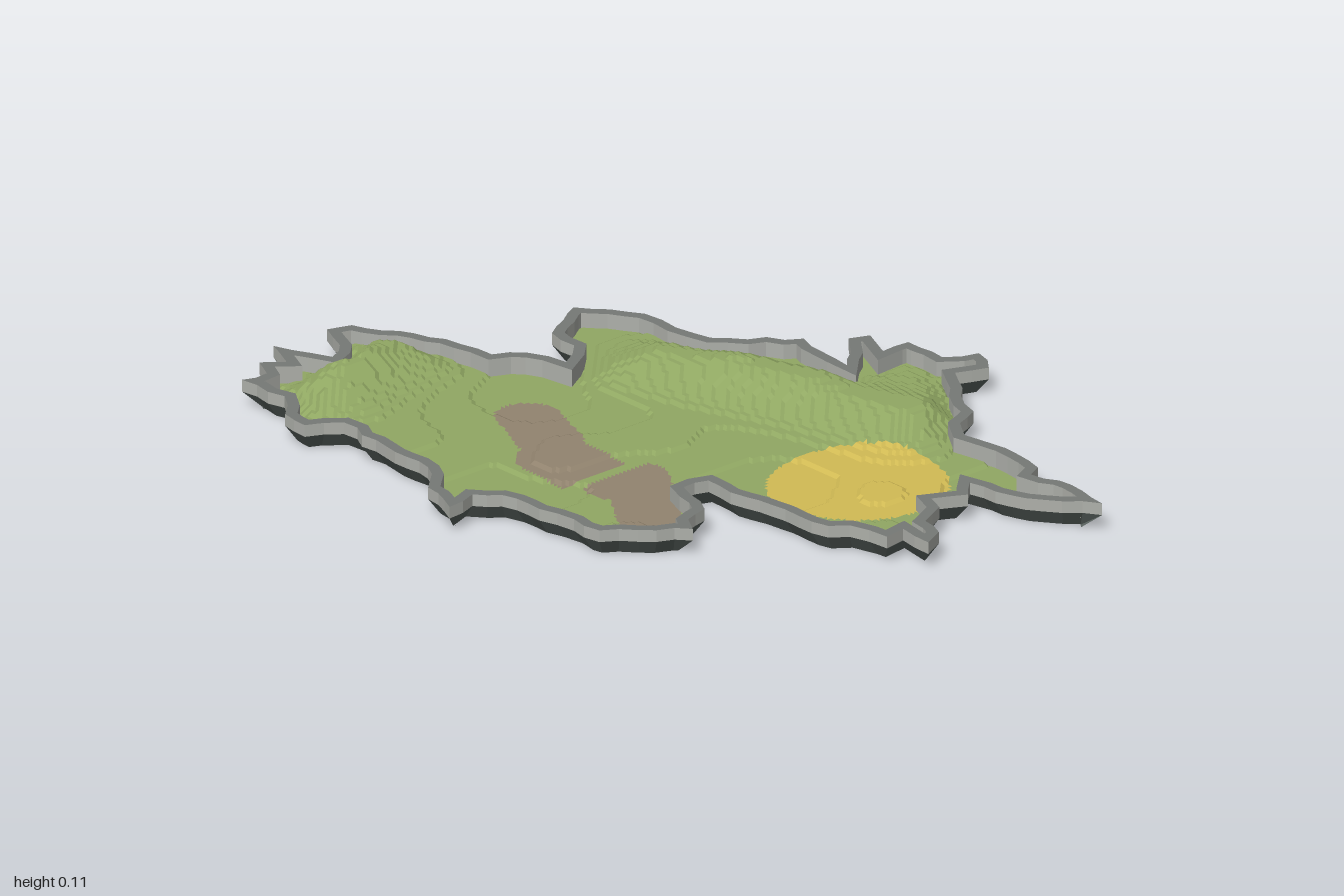
import * as THREE from 'three';

const RIM = { width: 0.028, top: 0.07, lip: 0.04, foot: 0.022 };
const CELL = 0.0125, STEP = 0.0065;

// Coastline corners as x, z pairs in hundredths
const COAST = [
  14, -77, 22, -73, 19, -65, 30, -57, 39, -53, 42, -46, 48, -42, 60, -44, 74, -42, 76, -38,
  87, -41, 100, -39, 89, -30, 78, -25, 70, -24, 75, -19, 71, -11, 76, -9, 80, -1, 87, 1,
  90, 7, 80, 6, 81, 12, 70, 14, 67, 18, 53, 19, 41, 21, 28, 21, 27, 28, 40, 33,
  42, 40, 47, 43, 39, 53, 33, 60, 24, 60, 14, 62, 2, 63, -3, 68, -1, 77, -13, 73,
  -22, 65, -38, 64, -55, 62, -60, 70, -68, 69, -76, 62, -90, 63, -89, 56, -95, 53, -91, 48,
  -100, 44, -86, 38, -90, 32, -99, 28, -97, 22, -87, 16, -76, 11, -62, 9, -57, 2, -47, -1,
  -53, -9, -62, -10, -70, -24, -56, -34, -45, -34, -35, -36, -20, -52, -1, -49, -13, -60,
  -11, -65, -2, -61, -2, -69, 10, -69,
];

function seeded(seed) {
  return () => (seed = (seed * 16807) % 2147483647) / 2147483647;
}

// Coastline with slightly ragged points along each long edge
function coastline() {
  const rand = seeded(11), out = [], n = COAST.length / 2;
  const at = (i) => new THREE.Vector2(COAST[(i % n) * 2], COAST[(i % n) * 2 + 1]).multiplyScalar(0.01);
  for (let i = 0; i < n; i++) {
    const a = at(i), b = at(i + 1), d = b.clone().sub(a);
    const parts = Math.max(1, Math.round(d.length() / 0.045));
    const normal = new THREE.Vector2(-d.y, d.x).normalize();
    out.push(a);
    for (let k = 1; k < parts; k++) {
      out.push(a.clone().lerp(b, k / parts).addScaledVector(normal, (rand() - 0.5) * 0.018));
    }
  }
  return out;
}

// Mitred inward offset of a closed outline
function inset(points, width) {
  const n = points.length;
  const inward = (a, b) => new THREE.Vector2(a.y - b.y, b.x - a.x).normalize();
  return points.map((p, i) => {
    const n1 = inward(points[(i + n - 1) % n], p), n2 = inward(p, points[(i + 1) % n]);
    const m = n1.clone().add(n2).normalize();
    return p.clone().addScaledVector(m, width / Math.max(0.45, m.dot(n1)));
  });
}

function segmentPoint(x, z, ax, az, bx, bz) {
  const dx = bx - ax, dz = bz - az;
  const len = dx * dx + dz * dz;
  const t = len ? THREE.MathUtils.clamp(((x - ax) * dx + (z - az) * dz) / len, 0, 1) : 0;
  return [ax + dx * t, az + dz * t];
}

function segmentDistance(x, z, ...seg) {
  const [px, pz] = segmentPoint(x, z, ...seg);
  return Math.hypot(x - px, z - pz);
}

function contains(poly, x, z) {
  let inside = false;
  for (let i = 0, j = poly.length - 1; i < poly.length; j = i++) {
    const a = poly[i], b = poly[j];
    if ((a.y > z) !== (b.y > z) && x < ((b.x - a.x) * (z - a.y)) / (b.y - a.y) + a.x) inside = !inside;
  }
  return inside;
}

function nearestOn(poly, x, z) {
  let best = null, min = Infinity;
  poly.forEach((a, i) => {
    const b = poly[(i + 1) % poly.length];
    const p = segmentPoint(x, z, a.x, a.y, b.x, b.y);
    const d = Math.hypot(p[0] - x, p[1] - z);
    if (d < min) { min = d; best = p; }
  });
  return { point: best, distance: min };
}

// Ridges and knolls: ax, az, bx, bz, spread, height
const HILLS = [
  [-0.34, -0.2, 0.28, -0.41, 0.09, 0.057],
  [-0.16, -0.3, 0, -0.36, 0.07, 0.026],
  [-0.8, 0.26, -0.73, 0.49, 0.085, 0.055],
  [-0.78, 0.36, -0.77, 0.43, 0.05, 0.026],
  [0.1, -0.55, 0.2, -0.6, 0.09, 0.016],
  [0.54, -0.1, 0.54, -0.1, 0.05, 0.01],
  [-0.14, 0.28, -0.1, 0.36, 0.06, 0.01],
];

// Terraced ground height, hills sinking towards the rim
function height(x, z, shore) {
  const plain = 0.031 + 0.006 * Math.sin(8 * x + 2) * Math.sin(7 * z + 1);
  let hills = 0;
  for (const [ax, az, bx, bz, s, top] of HILLS) {
    const d = segmentDistance(x, z, ax, az, bx, bz) / s;
    hills += top * Math.exp(-d * d / 2);
  }
  const h = plain + hills * THREE.MathUtils.smoothstep(shore, -0.03, 0.07);
  return Math.round(h / STEP) * STEP;
}

function groundType(x, z) {
  if (Math.hypot(x - 0.465, z + 0.096) < 0.217) return 'sandPatch';
  const westMud = segmentDistance(x, z, -0.365, 0.205, -0.2, 0.28) < 0.08
    || segmentDistance(x, z, -0.12, 0.33, 0, 0.33) < 0.1;
  if (westMud && x < 0.01) return 'mudPatch';
  const eastMud = segmentDistance(x, z, 0.08, 0.26, 0.31, 0.42) < 0.078
    || Math.hypot(x - 0.1, z - 0.33) < 0.085;
  return eastMud && x > 0.045 ? 'mudPatch' : 'grassGround';
}

function meshFrom(positions, material, name) {
  const g = new THREE.BufferGeometry();
  g.setAttribute('position', new THREE.Float32BufferAttribute(positions, 3));
  g.computeVertexNormals();
  const mesh = new THREE.Mesh(g, material);
  mesh.name = name;
  return mesh;
}

// Flat-sided band between two rings lying at given heights
function band(ringA, yA, ringB, yB) {
  const pos = [];
  ringA.forEach((a, i) => {
    const j = (i + 1) % ringA.length, b = ringA[j], c = ringB[j], d = ringB[i];
    pos.push(a.x, yA, a.y, d.x, yB, d.y, c.x, yB, c.y);
    pos.push(a.x, yA, a.y, c.x, yB, c.y, b.x, yA, b.y);
  });
  return pos;
}

export function createModel() {
  const paint = (name, color, side = THREE.DoubleSide) => {
    const m = new THREE.MeshStandardMaterial({ color, side });
    m.name = name;
    return m;
  };
  const materials = {
    grassGround: paint('grass green', 0x91a863),
    sandPatch: paint('sand yellow', 0xd2bb54),
    mudPatch: paint('mud brown', 0x92846f),
  };
  const stone = paint('stone grey', 0xaeb0aa);
  const capStone = paint('dark stone grey', 0x767976);
  const underStone = paint('underside grey', 0x5c6561, THREE.FrontSide);
  const group = new THREE.Group();
  group.name = 'island';

  const outer = coastline(), inner = inset(outer, RIM.width);

  // Terraced ground, its edge cells snapped to the inside of the rim
  const patches = { grassGround: [], sandPatch: [], mudPatch: [] };
  const nx = Math.ceil(2 / CELL), nz = Math.ceil(1.6 / CELL), grid = [];
  for (let k = 0; k <= nz; k++) {
    for (let i = 0; i <= nx; i++) {
      const x = -1 + i * CELL, z = -0.8 + k * CELL;
      const inside = contains(inner, x, z);
      const { point, distance } = nearestOn(inner, x, z);
      const [px, pz] = inside ? [x, z] : point;
      grid.push({ inside, p: [px, height(px, pz, inside ? distance : 0), pz] });
    }
  }
  for (let k = 0; k < nz; k++) {
    for (let i = 0; i < nx; i++) {
      const s = k * (nx + 1) + i;
      const [a, b, c, d] = [s, s + 1, s + nx + 2, s + nx + 1].map((v) => grid[v]);
      for (const tri of [[a, d, c], [a, c, b]]) {
        if (!tri.some((v) => v.inside)) continue;
        const cx = (tri[0].p[0] + tri[1].p[0] + tri[2].p[0]) / 3;
        const cz = (tri[0].p[2] + tri[1].p[2] + tri[2].p[2]) / 3;
        const target = patches[groundType(cx, cz)];
        tri.forEach((v) => target.push(...v.p));
      }
    }
  }
  for (const name in patches) group.add(meshFrom(patches[name], materials[name], name));

  // Stone rim: upright outside, flat cap, inner wall and sloping underside
  group.add(meshFrom(band(outer, RIM.lip, outer, RIM.top), stone, 'rimOutside'));
  group.add(meshFrom(band(outer, RIM.top, inner, RIM.top), capStone, 'rimCap'));
  group.add(meshFrom(band(inner, RIM.top, inner, RIM.foot), stone, 'rimInside'));
  group.add(meshFrom(band(inner, 0, outer, RIM.lip), underStone, 'rimUnderside'));
  return group;
}
